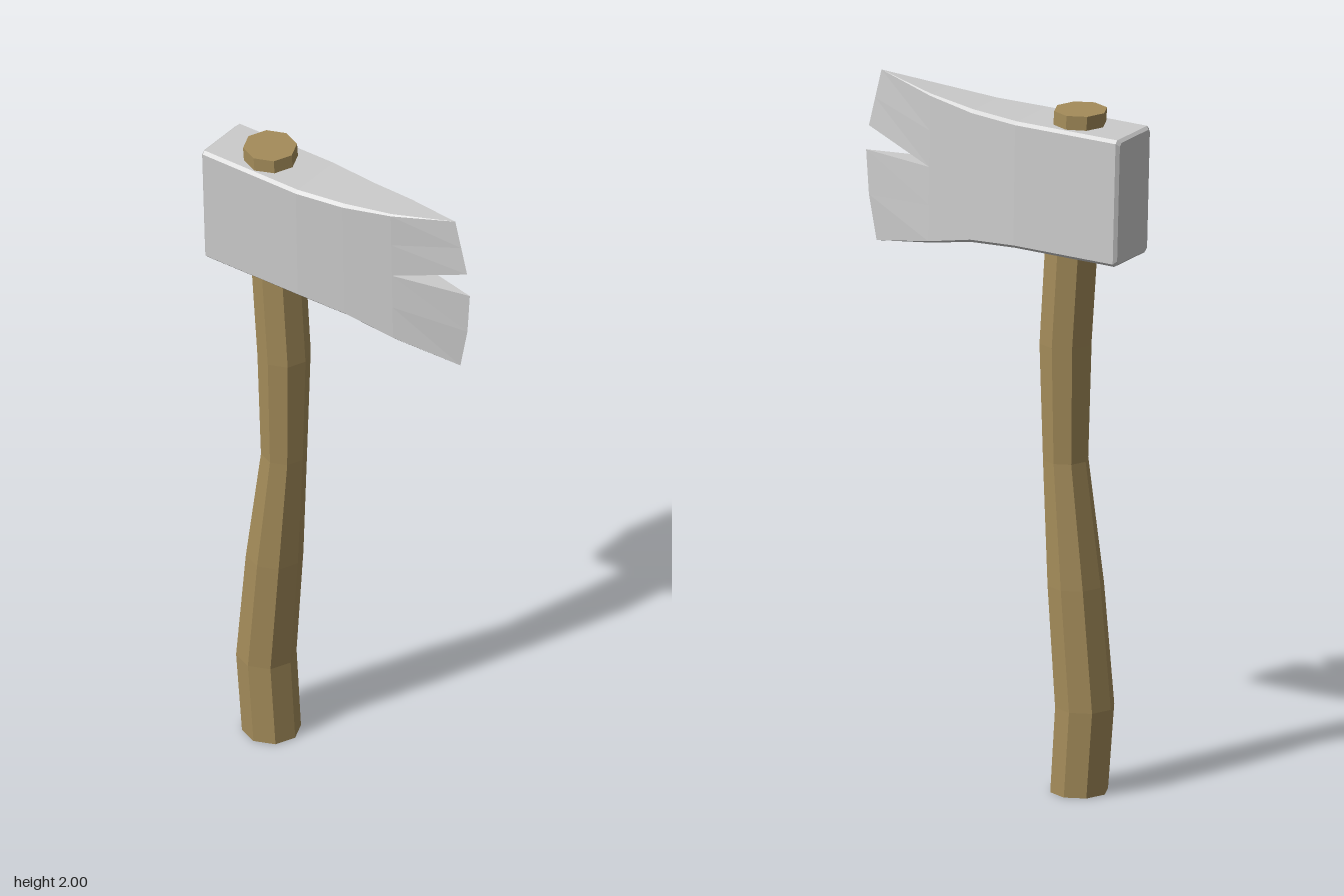
import * as THREE from 'three';

// Skins a list of equal-length rings; each ring runs clockwise seen from the far end.
function loft(rings, capStart, capEnd) {
  const pos = [];
  const tri = (a, b, c) => {
    const area = b.clone().sub(a).cross(c.clone().sub(a)).length();
    if (area > 1e-8) for (const p of [a, b, c]) pos.push(p.x, p.y, p.z);
  };
  const n = rings[0].length;
  for (let i = 0; i < rings.length - 1; i++) {
    for (let j = 0; j < n; j++) {
      const k = (j + 1) % n, r = rings[i], s = rings[i + 1];
      tri(r[j], s[j], r[k]);
      tri(r[k], s[j], s[k]);
    }
  }
  const last = rings[rings.length - 1];
  for (let j = 1; j < n - 1; j++) {
    if (capStart) tri(rings[0][0], rings[0][j], rings[0][j + 1]);
    if (capEnd) tri(last[0], last[j + 1], last[j]);
  }
  const geo = new THREE.BufferGeometry();
  geo.setAttribute('position', new THREE.Float32BufferAttribute(pos, 3));
  geo.computeVertexNormals();
  return geo;
}

// Head cross-section between a top and a bottom [z, y] point, with half-width w,
// corner bevels cT and cB, and a forward bulge halfway down.
function section(top, bot, w, cT = 0, cB = 0, bulge = 0) {
  const len = Math.hypot(top[0] - bot[0], top[1] - bot[1]);
  const half = [[w - cT, 0], [w, cT / len], [w, 0.5], [w, 1 - cB / len], [w - cB, 1]];
  const outline = [...half, ...half.slice().reverse().map(([x, t]) => [-x, t])];
  return outline.map(([x, t]) => {
    const z = THREE.MathUtils.lerp(top[0], bot[0], t) + (t === 0.5 ? bulge : 0);
    const y = THREE.MathUtils.lerp(top[1], bot[1], t);
    // the head sits very slightly twisted on the handle
    return new THREE.Vector3(x + 0.001 + 0.006 * z + 0.026 * (1.76 - y), y, z);
  });
}

export function createModel() {
  const group = new THREE.Group();
  const steel = new THREE.MeshStandardMaterial({ color: 0xcccccc, flatShading: true });
  const wood = new THREE.MeshStandardMaterial({ color: 0xa48c5a, flatShading: true });
  const add = (parent, name, geo, mat) => {
    const mesh = new THREE.Mesh(geo, mat);
    mesh.name = name;
    parent.add(mesh);
  };

  // Curved eight-sided handle: y, centre z, radius
  const stations = [
    [0, -0.252, 0.083], [0.25, -0.27, 0.085], [0.6, -0.241, 0.081], [0.96, -0.208, 0.065],
    [1.3, -0.208, 0.075], [1.6, -0.228, 0.076], [1.985, -0.257, 0.076],
  ];
  const handleRings = stations.map(([y, z, r]) => Array.from({ length: 8 }, (_, i) => {
    const a = (i * Math.PI) / 4;
    return new THREE.Vector3(-0.007 + r * Math.cos(a), y, z + r * Math.sin(a));
  }));
  add(group, 'handle', loft(handleRings, true, true), wood);

  // Axe head: bevelled block narrowing towards the split blade
  const head = new THREE.Group();
  head.name = 'axeHead';
  group.add(head);
  const c = 0.009;
  const body = [
    section([-0.434, 1.934], [-0.43, 1.583], 0.081, c, c),
    section([-0.425, 1.942], [-0.421, 1.575], 0.09, c, c),
    section([-0.1, 1.947], [-0.1, 1.581], 0.091, c, c),
    section([0.05, 1.954], [0.05, 1.57], 0.074, c, c),
    section([0.2, 1.971], [0.2, 1.54], 0.05, 0.005, 0.005),
  ];
  add(head, 'headBlock', loft(body, true, false), steel);

  // Two blade points either side of the notch, each closing to a sharp edge
  add(head, 'upperBlade', loft([
    section([0.2, 1.971], [0.2, 1.76], 0.05, 0.005, 0),
    section([0.388, 2.0], [0.426, 1.833], 0),
  ]), steel);
  add(head, 'lowerBlade', loft([
    section([0.2, 1.76], [0.2, 1.54], 0.05, 0, 0.005),
    section([0.434, 1.762], [0.396, 1.505], 0, 0, 0, 0.008),
  ]), steel);

  return group;
}
